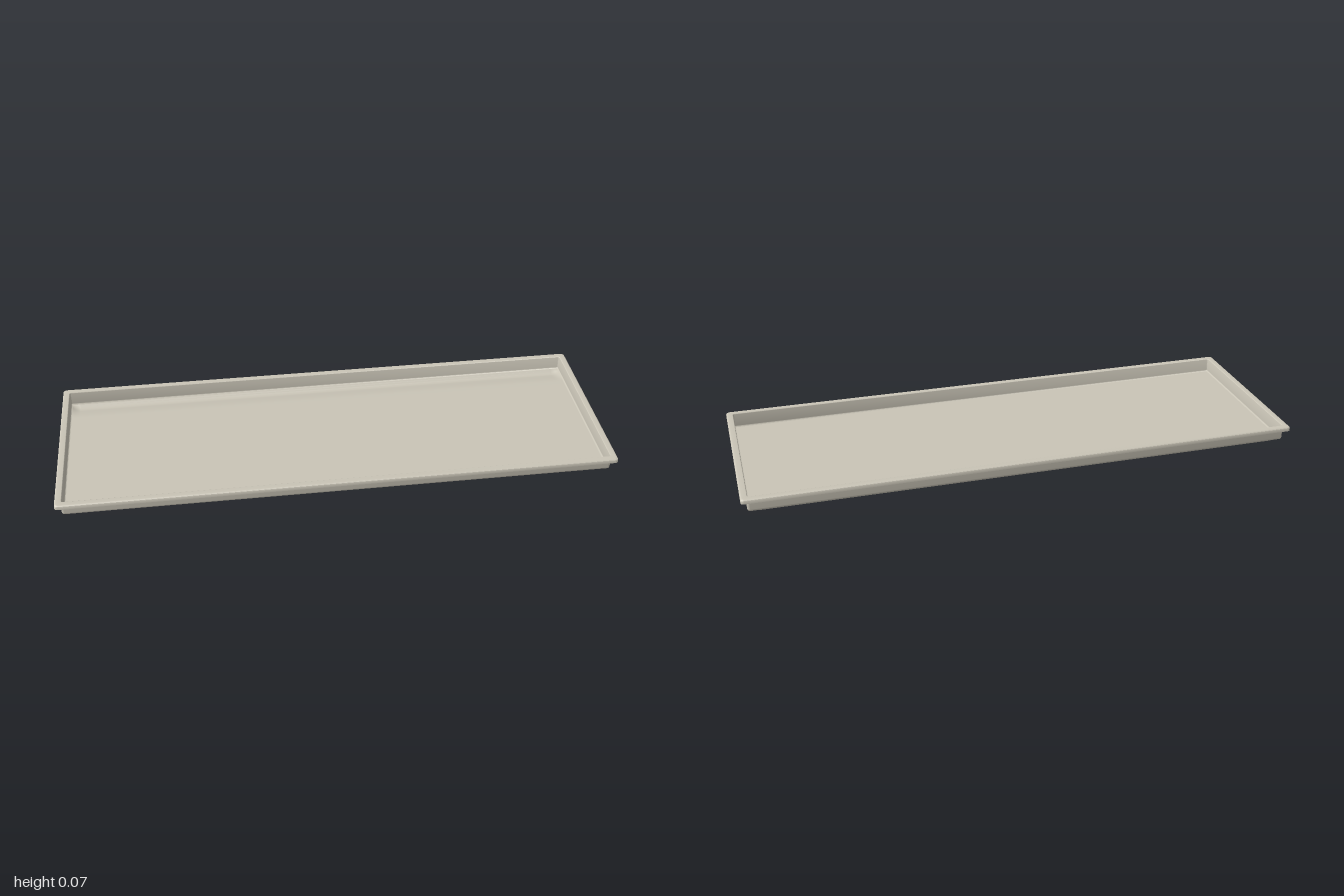
import * as THREE from 'three';
import { toCreasedNormals } from 'three/addons/utils/BufferGeometryUtils.js';

const CORNER_STEPS = 5;

// Rectangular loop inset by d from the outer edge, with rounded corners
function ring(d, y) {
  const r = Math.max(Math.min(0.012, 0.03 - d), 0);
  const hx = 1 - d - r, hz = 0.35 - d - r;
  const signs = [[1, 1], [-1, 1], [-1, -1], [1, -1]];
  const points = [];
  signs.forEach(([sx, sz], k) => {
    for (let i = 0; i <= CORNER_STEPS; i++) {
      const a = (k + i / CORNER_STEPS) * Math.PI / 2;
      points.push(sx * hx + r * Math.cos(a), y, sz * hz + r * Math.sin(a));
    }
  });
  return points;
}

// Quarter arc in the (inset, height) profile
function arc(cd, cy, r, from, to, steps = 5) {
  return Array.from({ length: steps + 1 }, (_, i) => {
    const a = (from + (to - from) * i / steps) * Math.PI / 180;
    return [cd + r * Math.cos(a), cy + r * Math.sin(a)];
  });
}

function makeGeometry(positions, indices) {
  const geometry = new THREE.BufferGeometry();
  geometry.setAttribute('position', new THREE.Float32BufferAttribute(positions, 3));
  geometry.setIndex(indices);
  geometry.computeVertexNormals();
  return geometry;
}

// Sheet walls swept around the tray, with a folded-down lip
function wallGeometry() {
  const profile = [
    ...arc(0.03, 0.022, 0.01, 270, 180),
    [0.02, 0.066], [0.004, 0.066], [0.004, 0.055], [0, 0.055],
    ...arc(0.006, 0.064, 0.006, 180, 90),
    ...arc(0.022, 0.067, 0.003, 90, 0),
    ...arc(0.03, 0.021, 0.005, 180, 270),
  ];
  const n = 4 * (CORNER_STEPS + 1);
  const positions = profile.flatMap(([d, y]) => ring(d, y));
  const indices = [];
  for (let i = 0; i < profile.length - 1; i++) {
    for (let j = 0; j < n; j++) {
      const k = (j + 1) % n;
      const a = i * n + j, b = a + n, c = (i + 1) * n + k, d = i * n + k;
      indices.push(a, b, c, a, c, d);
    }
  }
  return toCreasedNormals(makeGeometry(positions, indices), 0.6);
}

// Floor with a drainage channel along the back; ends of the channel slope up
function floorGeometry(y, facesUp) {
  const rows = [
    [-0.32, 0], [-0.314, 0.005], [-0.306, 0.0105], [-0.298, 0.012], [-0.29, 0.0108],
    [-0.27, 0.0055], [-0.25, 0.0015], [-0.235, 0], [-0.2, 0], [0.32, 0],
  ];
  const columns = [[-0.97, 0], [-0.96, 0.5], [-0.94, 1], [0.94, 1], [0.96, 0.5], [0.97, 0]];
  const positions = columns.flatMap(([x, g]) => rows.flatMap(([z, dip]) => [x, y - dip * g, z]));
  const indices = [];
  const n = rows.length;
  for (let i = 0; i < columns.length - 1; i++) {
    for (let j = 0; j < n - 1; j++) {
      const a = i * n + j, b = a + 1, c = a + n + 1, d = a + n;
      if (facesUp) indices.push(a, b, c, a, c, d);
      else indices.push(a, c, b, a, d, c);
    }
  }
  return makeGeometry(positions, indices);
}

export function createModel() {
  const model = new THREE.Group();
  model.name = 'tray';
  const enamel = new THREE.MeshStandardMaterial({ color: 0xc9c4b6 });
  enamel.name = 'warm grey enamel';

  const add = (name, geometry) => {
    const mesh = new THREE.Mesh(geometry, enamel);
    mesh.name = name;
    model.add(mesh);
  };
  add('wallsAndRim', wallGeometry());
  add('innerFloor', floorGeometry(0.016, true));
  add('underside', floorGeometry(0.012, false));
  return model;
}
